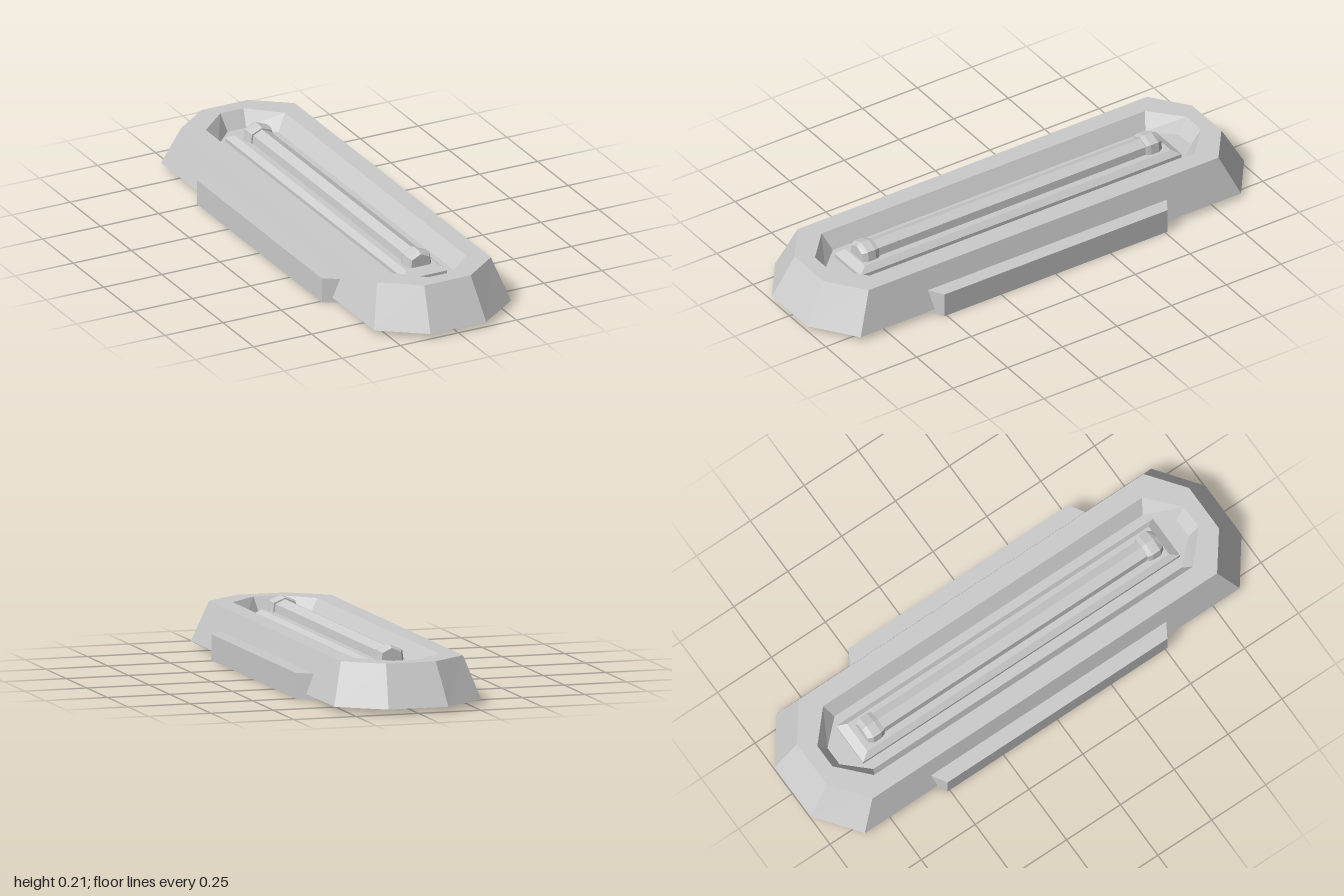
import * as THREE from 'three';

const material = new THREE.MeshStandardMaterial({ color: 0xcccccc, flatShading: true });

// Skin a series of equal-length closed rings and cap both ends
function loft(name, rings) {
  const pos = [];
  const tri = (...pts) => pts.forEach((p) => pos.push(...p));
  const n = rings[0].length;
  for (let i = 0; i < rings.length - 1; i++) {
    for (let j = 0; j < n; j++) {
      const k = (j + 1) % n;
      const [a, b, c, d] = [rings[i][j], rings[i][k], rings[i + 1][k], rings[i + 1][j]];
      tri(a, b, c);
      tri(a, c, d);
    }
  }
  const first = rings[0], last = rings[rings.length - 1];
  for (let j = 1; j < n - 1; j++) {
    tri(first[0], first[j + 1], first[j]);
    tri(last[0], last[j], last[j + 1]);
  }
  const geometry = new THREE.BufferGeometry();
  geometry.setAttribute('position', new THREE.Float32BufferAttribute(pos, 3));
  geometry.computeVertexNormals();
  const mesh = new THREE.Mesh(geometry, material);
  mesh.name = name;
  return mesh;
}

// Long octagon at height y: end edge (x1, z1), side edge (x2, z2)
const octagon = (y, x1, z1, x2, z2) => [
  [-x1, y, z1], [x1, y, z1], [x2, y, z2], [x2, y, -z2],
  [x1, y, -z1], [-x1, y, -z1], [-x2, y, -z2], [-x2, y, z2],
];

const rectangle = (y, x, z) => [[-x, y, z], [x, y, z], [x, y, -z], [-x, y, -z]];

// Ridged lamp section in the xy plane, placed at z
const section = (z, foot, shoulder, shoulderY, topY) => [
  [foot, 0.13, z], [shoulder, shoulderY, z], [0, topY, z],
  [-shoulder, shoulderY, z], [-foot, 0.13, z],
];

export function createModel() {
  const model = new THREE.Group();

  // Bevelled housing with a sunken floor
  model.add(loft('housing', [
    octagon(0.02, 0.12, 1, 0.295, 0.87),
    octagon(0.183, 0.1, 0.91, 0.245, 0.8),
    octagon(0.183, 0.05, 0.85, 0.17, 0.74),
    octagon(0.12, 0.04, 0.81, 0.13, 0.715),
  ]));

  // Sloped tray that carries the lamp
  model.add(loft('tray', [
    rectangle(0.118, 0.09, 0.735),
    rectangle(0.135, 0.09, 0.735),
    rectangle(0.155, 0.068, 0.7),
  ]));

  // Lamp tube with a chamfered holder at each end
  const lamp = new THREE.Group();
  lamp.name = 'lamp';
  lamp.position.z = 0.008;
  lamp.add(loft('tube', [-0.66, 0.66].map((z) => section(z, 0.045, 0.037, 0.187, 0.204))));
  for (const side of [1, -1]) {
    const holder = loft('lampHolder', [
      section(0.612, 0.05, 0.043, 0.192, 0.209),
      section(0.63, 0.058, 0.048, 0.195, 0.214),
      section(0.665, 0.058, 0.048, 0.195, 0.214),
      section(0.685, 0.044, 0.037, 0.187, 0.205),
    ]);
    if (side < 0) holder.rotation.y = Math.PI;
    lamp.add(holder);
  }
  model.add(lamp);

  // Side clips with slanted ends, wrapping under the housing
  for (const side of [1, -1]) {
    const clip = loft('sideClip', [0, 0.1].map((y) => [
      [0.215, y, 0.58], [0.33, y, 0.51], [0.33, y, -0.51], [0.215, y, -0.58],
    ]));
    if (side < 0) clip.rotation.y = Math.PI;
    model.add(clip);
  }

  return model;
}
